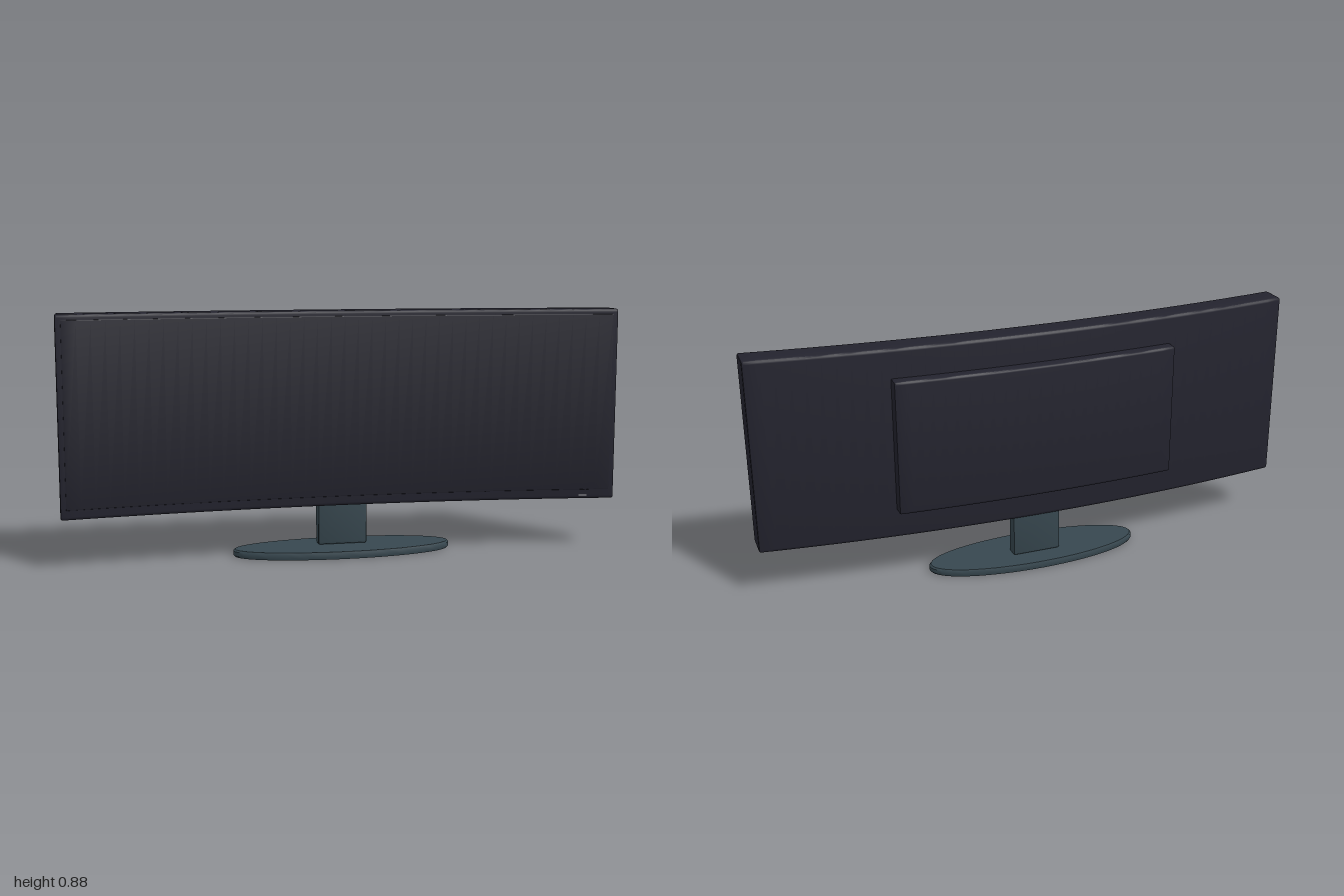
import * as THREE from 'three';
import { toCreasedNormals } from 'three/addons/utils/BufferGeometryUtils.js';

const BEND = 0.068; // forward sweep of the panel at x = 1

// Rounded slab running along x, centred on the origin
function slab(w, h, d, r, steps = 1) {
  const x = d / 2, y = h / 2;
  const s = new THREE.Shape();
  s.moveTo(-x + r, -y);
  s.lineTo(x - r, -y);
  s.quadraticCurveTo(x, -y, x, -y + r);
  s.lineTo(x, y - r);
  s.quadraticCurveTo(x, y, x - r, y);
  s.lineTo(-x + r, y);
  s.quadraticCurveTo(-x, y, -x, y - r);
  s.lineTo(-x, -y + r);
  s.quadraticCurveTo(-x, -y, -x + r, -y);
  const b = r * 0.6;
  const g = new THREE.ExtrudeGeometry(s, {
    depth: w - 2 * b, steps, curveSegments: 3,
    bevelEnabled: true, bevelThickness: b, bevelSize: b, bevelOffset: -b, bevelSegments: 2,
  });
  g.translate(0, 0, -w / 2 + b);
  g.rotateY(Math.PI / 2);
  return g;
}

// Sweep the ends forward so the panel wraps around the viewer
function bend(g) {
  const p = g.attributes.position;
  for (let i = 0; i < p.count; i++) p.setZ(i, p.getZ(i) + BEND * p.getX(i) ** 2);
  return g;
}

export function createModel() {
  const group = new THREE.Group();
  const material = (name, color) => {
    const m = new THREE.MeshStandardMaterial({ color });
    m.name = name;
    return m;
  };
  const casing = material('casing', 0x23232e);
  const glass = material('screen glass', 0x22222c);
  const metal = material('stand metal', 0x37474f);
  const lamp = material('power light', 0x66666c);

  const add = (name, g, mat) => {
    const mesh = new THREE.Mesh(toCreasedNormals(g, 0.6), mat);
    mesh.name = name;
    group.add(mesh);
  };

  // Curved housing, screen and rear cover
  add('housing', bend(slab(2, 0.7, 0.1, 0.012, 40).translate(0, 0.53, 0)), casing);
  add('screen', bend(slab(1.96, 0.645, 0.008, 0.002, 40).translate(0, 0.5375, 0.048)), glass);
  add('rearCover', bend(slab(1.04, 0.49, 0.06, 0.01, 24).translate(0, 0.53, -0.062)), casing);

  // Power light on the lower bezel
  add('powerLight', bend(new THREE.BoxGeometry(0.03, 0.007, 0.006).translate(0.885, 0.194, 0.049)), lamp);

  // Neck
  add('neck', slab(0.18, 0.25, 0.05, 0.01).translate(0, 0.153, -0.02), metal);

  // Oval foot with softened rims
  const rim = [[0, 0], [0.394, 0], [0.4, 0.006], [0.4, 0.021], [0.394, 0.027], [0, 0.027]]
    .map(([x, y]) => new THREE.Vector2(x, y));
  add('foot', new THREE.LatheGeometry(rim, 64).scale(1, 1, 0.3), metal);

  return group;
}
